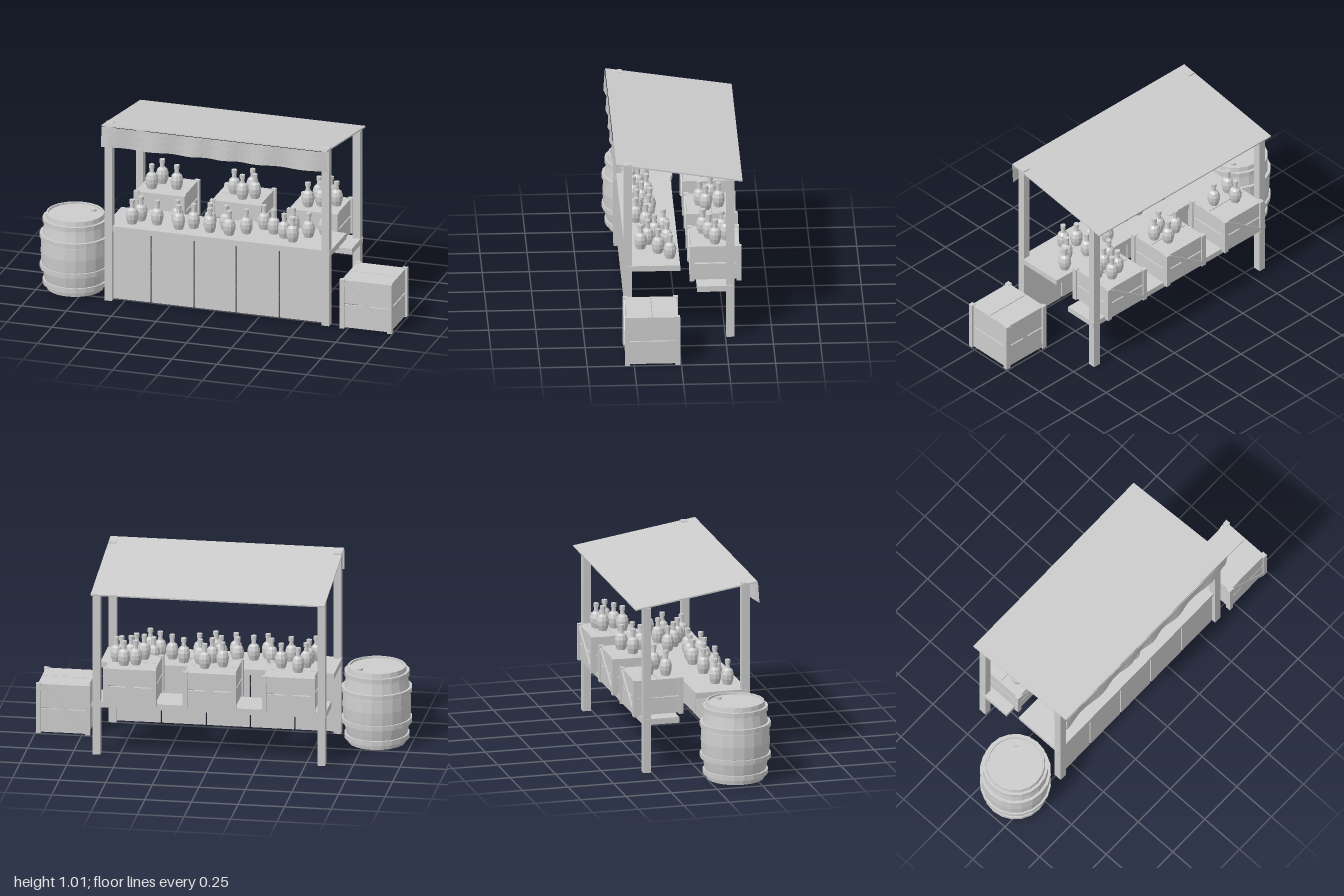
import * as THREE from 'three';

const grey = new THREE.MeshStandardMaterial({ color: 0xcccccc, flatShading: true, side: THREE.DoubleSide });
grey.name = 'plain grey';

function add(parent, name, geometry, x = 0, y = 0, z = 0) {
  const mesh = new THREE.Mesh(geometry, grey);
  mesh.name = name;
  mesh.position.set(x, y, z);
  parent.add(mesh);
  return mesh;
}

// Box given by its minimum and maximum on each axis
function slab(parent, name, x0, x1, y0, y1, z0, z1) {
  return add(parent, name, new THREE.BoxGeometry(x1 - x0, y1 - y0, z1 - z0),
    (x0 + x1) / 2, (y0 + y1) / 2, (z0 + z1) / 2);
}

const lathe = (points, sides) =>
  new THREE.LatheGeometry(points.map(([r, y]) => new THREE.Vector2(r, y)), sides);

// Wooden crate standing on y = 0: corner posts, paired boards, diagonal braces
function makeCrate(w, h, d) {
  const crate = new THREE.Group();
  crate.name = 'crate';
  const p = 0.026, t = 0.01, gap = 0.004, in1 = 0.009;
  const X = w / 2, Z = d / 2, mid = h * 0.5;
  for (const sx of [-1, 1]) for (const sz of [-1, 1]) {
    add(crate, 'cratePost', new THREE.BoxGeometry(p, h, p), sx * (X - p / 2), h / 2, sz * (Z - p / 2));
  }
  for (const [y0, y1] of [[0.006, mid - gap], [mid + gap, h - 0.004]]) {
    const y = (y0 + y1) / 2, bh = y1 - y0;
    for (const s of [-1, 1]) {
      add(crate, 'crateEndBoard', new THREE.BoxGeometry(w - p, bh, t), 0, y, s * (Z - in1 - t / 2));
      add(crate, 'crateSideBoard', new THREE.BoxGeometry(t, bh, d - p), s * (X - in1 - t / 2), y, 0);
    }
  }
  // Lid and floor boards
  for (const y of [0.012, h - 0.009]) for (const s of [-1, 1]) {
    add(crate, 'crateLidBoard', new THREE.BoxGeometry(w - 0.02, 0.01, d / 2 - 0.014), 0, y, s * (d / 4 - 0.005));
  }
  // Diagonal brace on the front and back
  const bw = w - 2 * p, bh = h - 0.035;
  for (const s of [-1, 1]) {
    const brace = add(crate, 'crateBrace', new THREE.BoxGeometry(Math.hypot(bw, bh), 0.024, 0.009), 0, h / 2, s * (Z - 0.0055));
    brace.rotation.z = -s * Math.atan2(bh, bw);
  }
  return crate;
}

export function createModel() {
  const model = new THREE.Group();
  model.name = 'marketStall';
  const L = -0.608, R = 0.647;

  // Corner posts
  for (const [x0, x1] of [[L + 0.003, -0.565], [0.602, R - 0.003]]) {
    slab(model, 'frontPost', x0, x1, 0, 1.007, 0.245, 0.288);
    slab(model, 'backPost', x0, x1, 0, 0.908, -0.297, -0.255);
  }

  // Sloping roof
  const slope = Math.atan2(0.105, 0.67);
  const roof = add(model, 'roof', new THREE.BoxGeometry(R - L, 0.008, Math.hypot(0.105, 0.67)), (L + R) / 2, 0.957, -0.005);
  roof.rotation.x = -slope;

  // Hanging cloth along the front edge, rippling toward the hem
  const cloth = new THREE.PlaneGeometry(R - L, 0.113, 40, 3);
  const cp = cloth.attributes.position;
  for (let i = 0; i < cp.count; i++) {
    const fall = 0.5 - cp.getY(i) / 0.113;
    cp.setZ(i, fall * 0.008 * Math.sin(cp.getX(i) * 29 + Math.sin(cp.getX(i) * 7)));
  }
  cloth.computeVertexNormals();
  add(model, 'valance', cloth, (L + R) / 2, 0.9475, 0.333);

  // Counter: top board and five front panels
  slab(model, 'counterTop', L, R, 0.39, 0.421, -0.01, 0.275);
  const edges = [-0.567, -0.354, -0.116, 0.12, 0.361, 0.604];
  for (let i = 0; i < 5; i++) {
    slab(model, 'counterPanel', edges[i] + 0.004, edges[i + 1] - 0.004, 0.01, 0.39, 0.252, 0.268);
  }

  // Back shelf with three crates
  slab(model, 'backShelf', L, R, 0.265, 0.297, -0.296, -0.1);
  const crateX = [-0.415, 0.01, 0.438];
  for (const x of crateX) {
    const crate = makeCrate(0.285, 0.2, 0.276);
    crate.position.set(x, 0.298, -0.2);
    model.add(crate);
  }

  // Crate on the ground
  const groundCrate = makeCrate(0.29, 0.277, 0.292);
  groundCrate.position.set(0.851, 0, 0.152);
  model.add(groundCrate);

  // Bottles on the counter and on the shelf crates
  const bottle = lathe([[0, 0], [0.024, 0], [0.033, 0.03], [0.034, 0.055], [0.027, 0.078], [0.013, 0.09],
    [0.011, 0.112], [0.015, 0.113], [0.015, 0.134], [0, 0.134]], 10);
  const counterSpots = [[-0.48, 0.2], [-0.45, 0.14], [-0.35, 0.17], [-0.25, 0.13], [-0.22, 0.2], [-0.15, 0.16],
    [-0.07, 0.12], [-0.05, 0.19], [0.02, 0.13], [0.06, 0.2], [0.14, 0.15], [0.21, 0.06], [0.28, 0.11],
    [0.35, 0.15], [0.37, 0.05], [0.41, 0.19], [0.47, 0.1], [0.54, 0.04]];
  const crateSpots = [[-0.48, -0.14], [-0.45, -0.23], [-0.35, -0.17], [-0.04, -0.2], [0.025, -0.14],
    [0.05, -0.24], [0.085, -0.17], [0.39, -0.14], [0.42, -0.24], [0.455, -0.17], [0.48, -0.26], [0.53, -0.2]];
  const placeBottles = (spots, y) => spots.forEach(([x, z], i) => {
    add(model, 'bottle', bottle, x, y, z).rotation.y = i * 0.7;
  });
  placeBottles(counterSpots, 0.421);
  placeBottles(crateSpots, 0.497);

  // Barrel with four hoops and a bung in the lid
  const barrel = new THREE.Group();
  barrel.name = 'barrel';
  barrel.position.set(-0.812, 0, 0.152);
  model.add(barrel);
  add(barrel, 'barrelBody', lathe([[0, 0.003], [0.153, 0.003], [0.168, 0.08], [0.18, 0.15], [0.184, 0.215],
    [0.18, 0.28], [0.168, 0.35], [0.155, 0.428], [0.145, 0.428], [0.144, 0.418], [0, 0.418]], 20));
  for (const [y, r] of [[0.043, 0.174], [0.132, 0.189], [0.302, 0.189], [0.39, 0.174]]) {
    add(barrel, 'barrelHoop', lathe([[r - 0.02, y - 0.013], [r, y - 0.013], [r, y + 0.013], [r - 0.02, y + 0.013]], 20));
  }
  add(barrel, 'barrelBung', new THREE.CylinderGeometry(0.015, 0.015, 0.012, 10), 0.08, 0.423, -0.07);

  return model;
}
